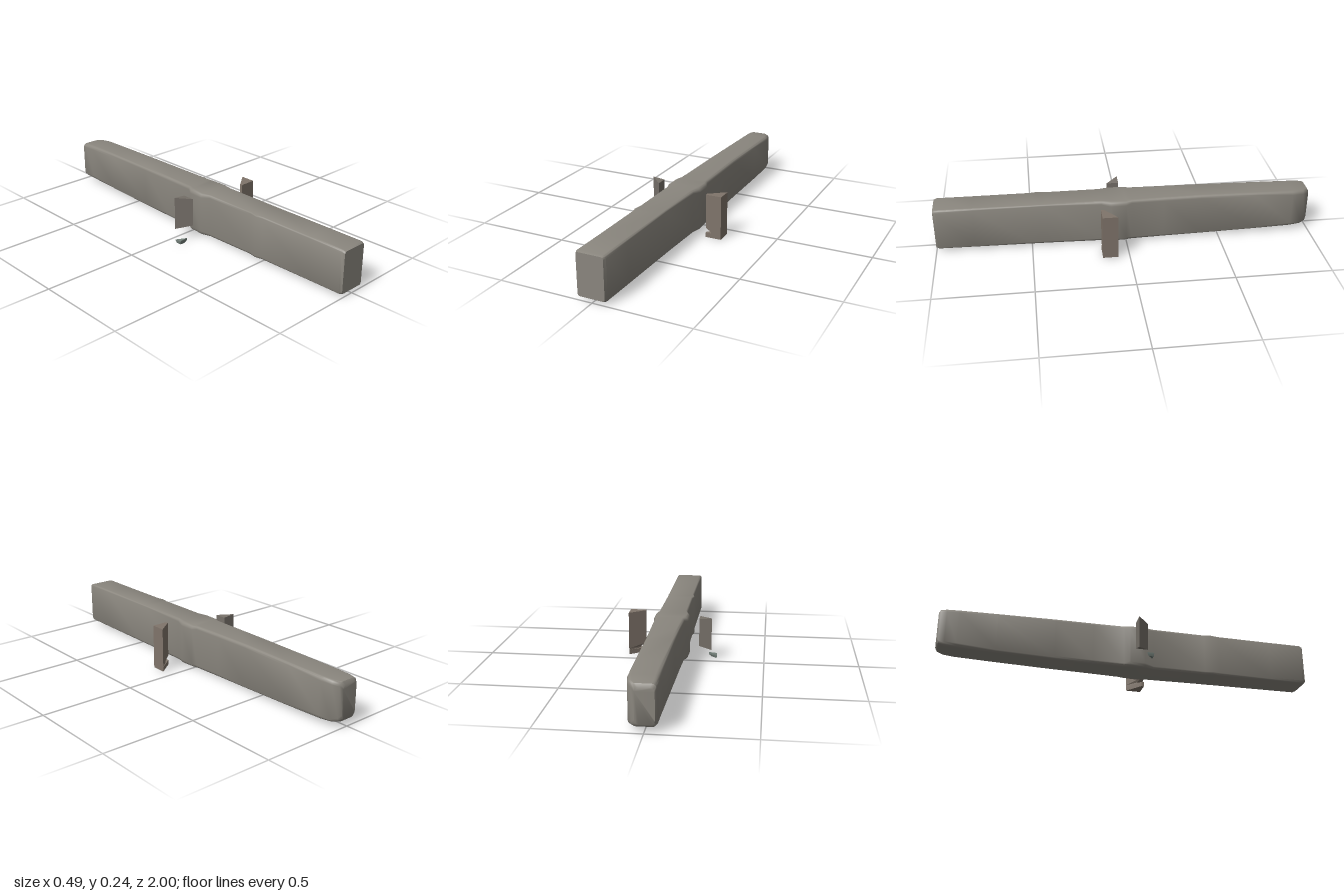
import * as THREE from 'three';
import { toCreasedNormals } from 'three/addons/utils/BufferGeometryUtils.js';

const STEPS = 4; // segments per rounded corner

// Rounded rectangle outline, counter-clockwise seen from +z
function outline([z, x0, x1, y0, y1, r]) {
  const pts = [];
  const corners = [[x1 - r, y1 - r], [x0 + r, y1 - r], [x0 + r, y0 + r], [x1 - r, y0 + r]];
  corners.forEach(([cx, cy], c) => {
    for (let i = 0; i <= STEPS; i++) {
      const a = (c + i / STEPS) * Math.PI / 2;
      pts.push([cx + r * Math.cos(a), cy + r * Math.sin(a), z]);
    }
  });
  return pts;
}

// Skin a list of closed rings and cap both ends
function loft(rings, crease) {
  const n = rings[0].length, pos = rings.flat(2), index = [];
  for (let k = 0; k < rings.length - 1; k++) {
    for (let i = 0; i < n; i++) {
      const a = k * n + i, b = k * n + (i + 1) % n;
      index.push(a, b, b + n, a, b + n, a + n);
    }
  }
  const last = (rings.length - 1) * n;
  for (let i = 1; i < n - 1; i++) {
    index.push(0, i + 1, i, last, last + i, last + i + 1);
  }
  const g = new THREE.BufferGeometry();
  g.setAttribute('position', new THREE.Float32BufferAttribute(pos, 3));
  g.setIndex(index);
  return toCreasedNormals(g, crease);
}

// Upright ring from plan corners [x, z], ordered so the skin faces outward going up
const level = (plan, y) => plan.map(([x, z]) => [x, typeof y === 'function' ? y(x) : y, z]);

export function createModel() {
  const group = new THREE.Group();
  const add = (name, geometry, color) => {
    const mesh = new THREE.Mesh(geometry,
      new THREE.MeshStandardMaterial({ color, side: THREE.DoubleSide }));
    mesh.name = name;
    group.add(mesh);
  };

  // Long beam: z, left x, right x, bottom, top, corner radius
  const sections = [
    [-1.00, -0.050, 0.040, 0.045, 0.215, 0.020],
    [-0.99, -0.057, 0.055, 0.032, 0.230, 0.020],
    [-0.96, -0.060, 0.075, 0.028, 0.235, 0.020],
    [-0.90, -0.060, 0.085, 0.026, 0.238, 0.020],
    [-0.70, -0.062, 0.084, 0.020, 0.241, 0.018],
    [-0.40, -0.066, 0.080, 0.012, 0.245, 0.016],
    [-0.20, -0.070, 0.082, 0.010, 0.245, 0.016],
    [-0.03, -0.075, 0.085, 0.008, 0.245, 0.016],
    [0.00, -0.092, 0.094, 0.006, 0.245, 0.024],
    [0.08, -0.094, 0.095, 0.004, 0.245, 0.024],
    [0.13, -0.077, 0.080, 0.006, 0.245, 0.016],
    [0.42, -0.076, 0.075, 0.010, 0.245, 0.014],
    [0.46, -0.084, 0.075, 0.010, 0.245, 0.014],
    [0.50, -0.077, 0.075, 0.011, 0.245, 0.014],
    [0.80, -0.078, 0.074, 0.014, 0.245, 0.014],
    [0.985, -0.080, 0.073, 0.016, 0.245, 0.014],
    [1.00, -0.074, 0.067, 0.022, 0.240, 0.012],
  ];
  add('beam', loft(sections.map(outline), 0.7), 0x8a867e);

  // Left post: triangular prism with a notch above its foot
  const full = [[0.155, 0.125], [0.155, 0.14], [0.24, 0.14], [0.24, 0.06]];
  const neck = [[0.185, 0.11], [0.185, 0.14], [0.24, 0.14], [0.24, 0.06]];
  add('leftPost', loft([
    level(full, 0.003), level(full, 0.028), level(neck, 0.029),
    level(neck, 0.036), level(full, 0.055), level(full, 0.24),
  ], 0.4), 0x80756b);

  // Right post: shorter prism with a slanted, broken bottom
  const short = [[-0.217, 0.015], [-0.15, 0.08], [-0.15, 0.015]];
  add('rightPost', loft([
    level(short, x => 0.06 + (x + 0.217) * 0.3),
    level(short, x => 0.237 - (x + 0.217) * 0.1),
  ], 0.4), 0x77716a);

  // Loose chip under the right post
  const chip = [[-0.245, 0.05], [-0.243, 0.085], [-0.198, 0.085]];
  const chipBase = [[-0.242, 0.055], [-0.24, 0.083], [-0.212, 0.083]];
  add('rightChip', loft([
    level(chipBase, 0.002), level(chip, 0.014), level(chip, x => 0.021 + (x + 0.245) * 0.1),
  ], 0.4), 0x74807a);

  return group;
}
